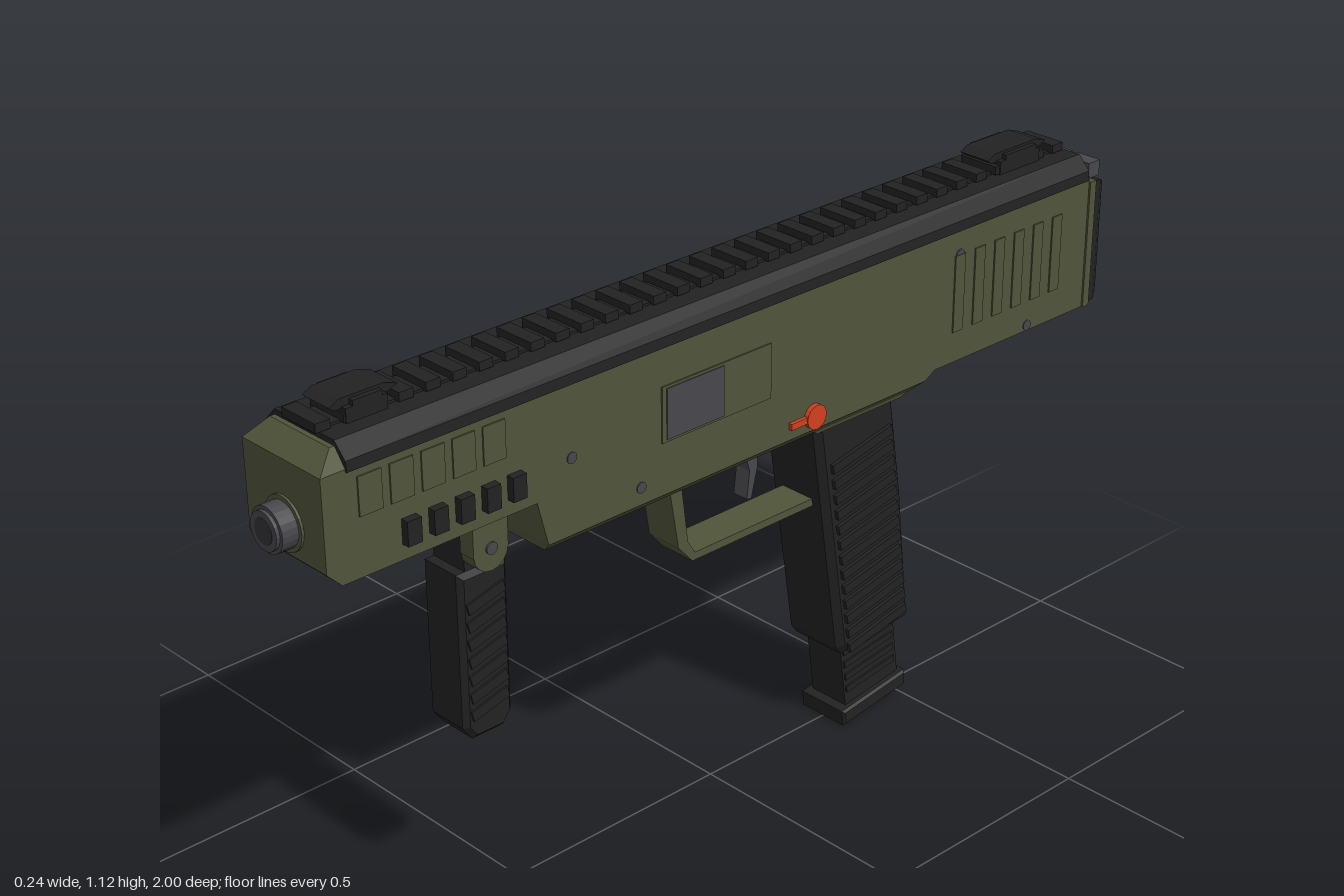
import * as THREE from 'three';

const mat = (name, color) => {
  const m = new THREE.MeshStandardMaterial({ color });
  m.name = name;
  m.flatShading = true;
  return m;
};

export function createModel() {
  const root = new THREE.Group();
  root.name = 'compactToyBlaster';
  const olive = mat('olive', 0x50543a);
  const black = mat('black', 0x222223);
  const steel = mat('steel', 0x47474c);
  const bore = mat('boreGrey', 0x333337);
  const red = mat('red', 0xd2401f);

  const add = (name, geo, m, parent = root) => {
    const mesh = new THREE.Mesh(geo, m);
    mesh.name = name;
    parent.add(mesh);
    return mesh;
  };
  // Box given by its x, y and z limits
  const box = (name, m, x0, x1, y0, y1, z0, z1, parent) => {
    const g = new THREE.BoxGeometry(x1 - x0, y1 - y0, z1 - z0);
    g.translate((x0 + x1) / 2, (y0 + y1) / 2, (z0 + z1) / 2);
    return add(name, g, m, parent);
  };
  // Block whose bottom and top rectangles differ: [halfX, zBack, zFront, y]
  const loft = (name, m, bottom, top) => {
    const g = new THREE.BoxGeometry(2, 2, 2);
    const p = g.attributes.position;
    for (let i = 0; i < p.count; i++) {
      const [hx, zb, zf, y] = p.getY(i) < 0 ? bottom : top;
      p.setXYZ(i, p.getX(i) * hx, y, p.getZ(i) < 0 ? zb : zf);
    }
    g.computeVertexNormals();
    return add(name, g, m);
  };
  // Side outline of [z, y] points, extruded across x and optionally bevelled
  const side = (name, m, pts, hx, bevel = 0, hole) => {
    const toV = (a) => a.map(([z, y]) => new THREE.Vector2(z, y));
    const shape = new THREE.Shape(toV(pts));
    if (hole) shape.holes.push(new THREE.Path(toV(hole)));
    const g = new THREE.ExtrudeGeometry(shape, {
      depth: 2 * (hx - bevel), bevelEnabled: bevel > 0, bevelSize: bevel,
      bevelThickness: bevel, bevelOffset: -bevel, bevelSegments: 1,
    });
    g.translate(0, 0, -(hx - bevel));
    g.rotateY(-Math.PI / 2);
    return add(name, g, m);
  };
  // Disc or pin lying along x
  const pin = (name, m, r, x, len, y, z, parent) => {
    const g = new THREE.CylinderGeometry(r, r, len, 16);
    g.rotateZ(Math.PI / 2);
    g.translate(x, y, z);
    return add(name, g, m, parent);
  };
  // Ring or tube along z
  const tube = (name, m, r, z0, z1) => {
    const g = new THREE.CylinderGeometry(r, r, z1 - z0, 24);
    g.rotateX(Math.PI / 2);
    g.translate(0, 0.917, (z0 + z1) / 2);
    return add(name, g, m);
  };

  // Body shell with stepped underside
  side('body', olive, [
    [0.955, 1.035], [0.955, 0.86], [0.925, 0.83], [0.51, 0.83], [0.487, 0.74],
    [-0.475, 0.74], [-0.5, 0.755], [-0.94, 0.755], [-0.94, 1.035],
  ], 0.105);
  loft('bodyTop', olive, [0.105, -0.94, 0.955, 1.035], [0.08, -0.94, 0.915, 1.068]);
  loft('belly', olive, [0.085, -0.45, 0.48, 0.72], [0.105, -0.475, 0.487, 0.74]);

  // Black cover and toothed rail
  loft('topCover', black, [0.109, -0.935, 0.905, 1.03], [0.107, -0.935, 0.905, 1.05]);
  loft('topCoverSlope', black, [0.107, -0.935, 0.905, 1.05], [0.08, -0.935, 0.905, 1.078]);
  box('railBase', black, -0.035, 0.035, 1.075, 1.083, -0.92, 0.91);
  for (let i = 0; i < 33; i++) {
    const z = 0.9 - i * 0.0565;
    box('railTooth', black, -0.045, 0.045, 1.08, 1.097, z - 0.015, z + 0.015);
  }

  // Folded sights
  for (const [zb, zf] of [[0.74, 0.88], [-0.88, -0.71]]) {
    box('sightBase', black, -0.047, 0.047, 1.075, 1.105, zb + 0.03, zf - 0.025);
    side('sightBlade', black, [
      [zf, 1.11], [zf - 0.02, 1.12], [zb + 0.03, 1.12], [zb, 1.11], [zb + 0.02, 1.102], [zf - 0.01, 1.102],
    ], 0.036);
    for (const s of [-1, 1]) {
      const x = s * 0.042;
      box('sightEar', black, x - 0.005, x + 0.005, 1.1, 1.115, zb + 0.04, zf - 0.04);
    }
  }

  // Muzzle
  tube('muzzleCollar', olive, 0.051, 0.94, 0.96);
  tube('muzzle', steel, 0.043, 0.95, 0.992);
  tube('muzzleLip', steel, 0.036, 0.98, 0.999);
  tube('bore', bore, 0.024, 0.98, 1.0);

  // Rear frame, pad and latch
  box('rearFrame', olive, -0.109, 0.109, 0.755, 1.025, -0.958, -0.94);
  const pad = new THREE.BoxGeometry(2, 2, 2);
  const pp = pad.attributes.position;
  for (let i = 0; i < pp.count; i++) {
    const back = pp.getZ(i) < 0;
    pp.setXYZ(i, pp.getX(i) * (back ? 0.09 : 0.1), 0.888 + pp.getY(i) * (back ? 0.12 : 0.13), back ? -1 : -0.982);
  }
  pad.computeVertexNormals();
  add('rearPadFace', pad, black);
  box('rearPad', black, -0.1, 0.1, 0.758, 1.018, -0.982, -0.955);
  box('latchBase', black, -0.085, 0.085, 1.02, 1.04, -0.965, -0.935);
  for (const x of [-0.07, 0, 0.07]) {
    box('latchBlock', steel, x - 0.028, x + 0.028, 1.028, 1.06, -0.978, -0.945);
  }

  // Details repeated on both flanks
  for (const s of [-1, 1]) {
    const flank = new THREE.Group();
    flank.name = s > 0 ? 'leftFlank' : 'rightFlank';
    root.add(flank);
    const plate = (name, m, y0, y1, z0, z1, out) =>
      box(name, m, Math.min(s * 0.1, s * out), Math.max(s * 0.1, s * out), y0, y1, z0, z1, flank);
    for (let i = 0; i < 5; i++) {
      const zu = 0.86 - i * 0.065, zl = 0.785 - i * 0.0565;
      plate('frontVent', olive, 0.942, 1.015, zu - 0.024, zu + 0.024, 0.108);
      plate('sideStud', black, 0.86, 0.907, zl - 0.015, zl + 0.015, 0.121);
    }
    for (let i = 0; i < 6; i++) {
      const z = -0.56 - i * 0.057;
      plate('rearVent', olive, 0.82, 0.98, z - 0.014, z + 0.014, 0.108);
    }
    for (const [z, y] of [[0.43, 0.89], [0.27, 0.775], [-0.56, 0.98], [-0.77, 0.767]]) {
      pin('screw', steel, 0.011, s * 0.104, 0.006, y, z, flank);
    }
    // Selector lever
    pin('selectorHub', red, 0.025, s * 0.108, 0.014, 0.77, -0.165, flank);
    plate('selectorLever', red, 0.763, 0.776, -0.155, -0.1, 0.113);
    // Fore grip hinge cheek
    const cheek = box('hingeCheek', olive, s * 0.06 - 0.018, s * 0.06 + 0.018, 0.755, 0.84, 0.555, 0.632, flank);
    cheek.name = 'hingeCheek';
    pin('hingePivot', olive, 0.038, s * 0.06, 0.036, 0.758, 0.5935, flank);
    pin('hingeBolt', steel, 0.012, s * 0.079, 0.006, 0.765, 0.5935, flank);
    // Slanted ribs on both grips
    for (let i = 0; i < 13; i++) {
      const y = 0.215 + i * 0.035;
      const g = new THREE.BoxGeometry(0.012, 0.02, 0.165);
      g.rotateX(0.2);
      g.translate(s * 0.078, y, -0.315 - (0.72 - y) * 0.14);
      add('gripRib', g, black, flank);
    }
    for (let i = 0; i < 7; i++) {
      const g = new THREE.BoxGeometry(0.01, 0.022, 0.085);
      g.rotateX(0.25);
      g.translate(s * 0.051, 0.44 + i * 0.036, 0.59);
      add('foreGripRib', g, black, flank);
    }
  }

  // Ejection port on the left flank
  box('portFrame', olive, 0.1, 0.108, 0.845, 0.955, -0.05, 0.22);
  box('portCover', steel, 0.1, 0.11, 0.85, 0.95, 0.07, 0.21);

  // Folding fore grip
  box('foreGripNeck', black, -0.042, 0.042, 0.7, 0.8, 0.562, 0.625);
  side('foreGrip', black, [
    [0.645, 0.715], [0.645, 0.405], [0.625, 0.377], [0.555, 0.377], [0.535, 0.405], [0.535, 0.715],
  ], 0.052, 0.01);

  // Main grip
  side('grip', black, [
    [-0.205, 0.725], [-0.285, 0.2], [-0.3, 0.18], [-0.49, 0.195], [-0.457, 0.49], [-0.42, 0.725],
  ], 0.076, 0.014);
  loft('gripCollar', olive, [0.08, -0.435, -0.2, 0.71], [0.085, -0.45, -0.19, 0.725]);

  // Magazine with ribs and base plate
  side('magazine', black, [[-0.31, 0.22], [-0.336, 0.03], [-0.488, 0.05], [-0.465, 0.22]], 0.046);
  for (let i = 0; i < 4; i++) {
    const g = new THREE.BoxGeometry(0.1, 0.014, 0.14);
    g.rotateX(0.13);
    g.translate(0, 0.085 + i * 0.03, -0.404 + i * 0.004);
    add('magazineRib', g, black);
  }
  side('magazineBase', black, [[-0.314, 0.035], [-0.319, 0], [-0.5, 0.025], [-0.497, 0.06]], 0.061, 0.005);

  // Trigger guard and trigger
  side('triggerGuard', olive, [
    [0.145, 0.722], [0.12, 0.57], [0.085, 0.53], [-0.25, 0.53], [-0.22, 0.722],
  ], 0.04, 0, [
    [0.112, 0.703], [-0.21, 0.703], [-0.235, 0.546], [0.078, 0.546], [0.096, 0.575],
  ]);
  side('trigger', steel, [
    [-0.065, 0.715], [-0.085, 0.65], [-0.078, 0.592], [-0.09, 0.59], [-0.105, 0.65], [-0.105, 0.715],
  ], 0.018);

  return root;
}
